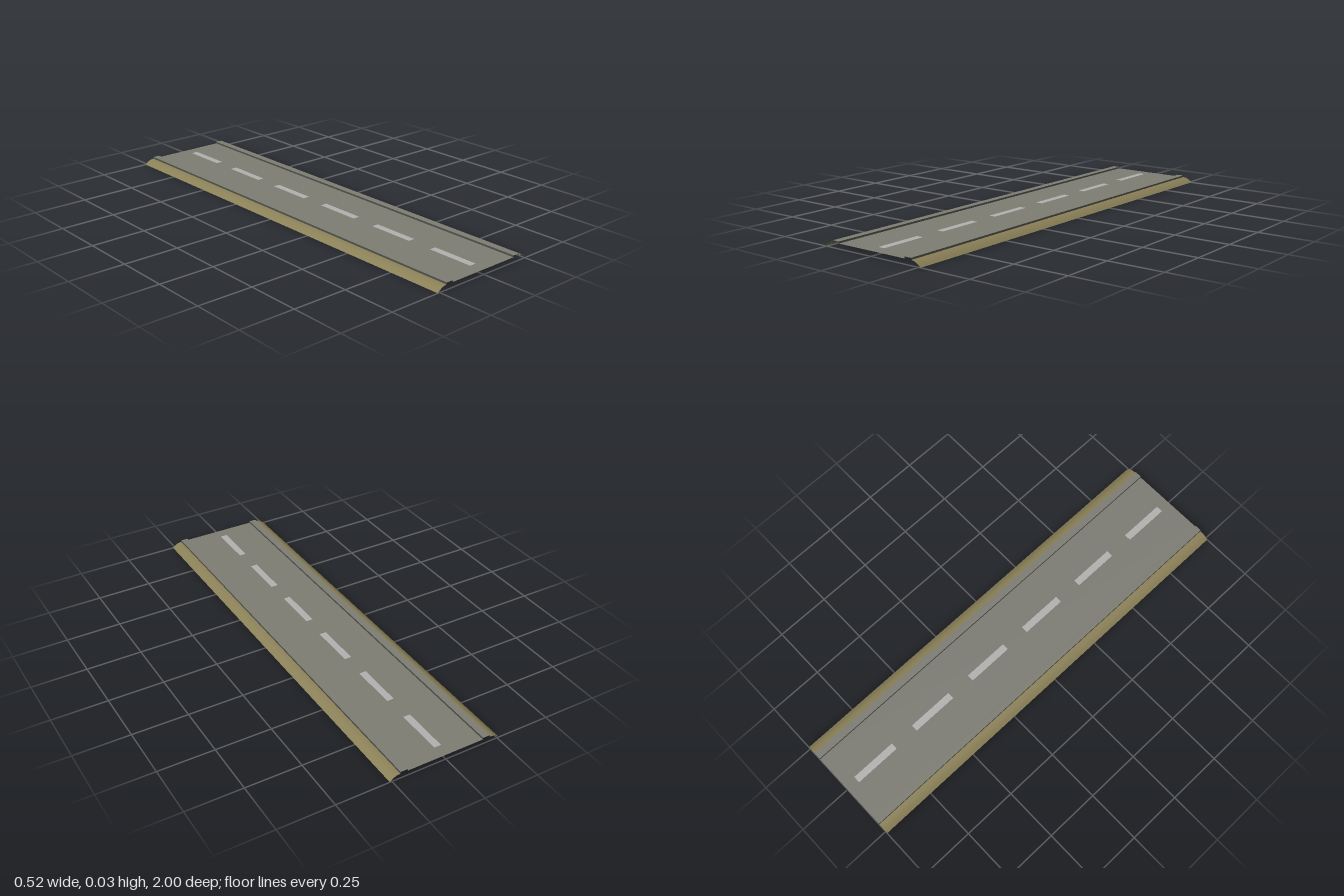
import * as THREE from 'three';

const flat = (name, color) => {
  const m = new THREE.MeshStandardMaterial({ color, side: THREE.DoubleSide });
  m.name = name;
  return m;
};

// Open sheet: a profile of [x, y] points (running towards +x) swept along z
function sheet(name, profile, material, z0 = 1, z1 = -1) {
  const pos = [], index = [];
  profile.forEach(([x, y], i) => {
    pos.push(x, y, z0, x, y, z1);
    if (i) {
      const a = 2 * i - 2, b = 2 * i;
      index.push(a, b, b + 1, a, b + 1, a + 1);
    }
  });
  const geo = new THREE.BufferGeometry();
  geo.setAttribute('position', new THREE.Float32BufferAttribute(pos, 3));
  geo.setIndex(index);
  geo.computeVertexNormals();
  const mesh = new THREE.Mesh(geo, material);
  mesh.name = name;
  return mesh;
}

export function createModel() {
  const asphalt = flat('asphalt grey', 0x7d7d74);
  const kerbDark = flat('kerb dark grey', 0x4c4c48);
  const verge = flat('verge olive', 0x8a8057);
  const paint = flat('road paint', 0xb2b2b0);

  const roadY = 0.022, kerbY = 0.03, inner = 0.178, outer = 0.213;
  const group = new THREE.Group();
  group.name = 'road';

  group.add(sheet('roadSurface', [[-inner, roadY], [inner, roadY]], asphalt));

  // Kerbs and rounded verges on both sides
  const slope = [[outer, roadY], [0.226, 0.0205], [0.238, 0.0165], [0.249, 0.0095], [0.26, 0]];
  for (const side of [1, -1]) {
    const name = side > 0 ? 'left' : 'right';
    const mirror = (pts) => (side > 0 ? pts : pts.map(([x, y]) => [-x, y]).reverse());
    const add = (part, pts, mat) => group.add(sheet(name + part, mirror(pts), mat));
    add('KerbInnerFace', [[inner, roadY], [inner + 0.001, kerbY]], kerbDark);
    add('KerbTop', [[inner + 0.001, kerbY], [outer - 0.001, kerbY]], asphalt);
    add('KerbOuterFace', [[outer - 0.001, kerbY], [outer, roadY]], kerbDark);
    add('Verge', slope, verge);
  }

  // Dashed centre line
  for (let i = 0; i < 6; i++) {
    const z = -0.8355 + i * 0.3342;
    const y = roadY + 0.001;
    group.add(sheet('centreDash', [[-0.016, y], [0.016, y]], paint, z + 0.108, z - 0.108));
  }
  return group;
}
